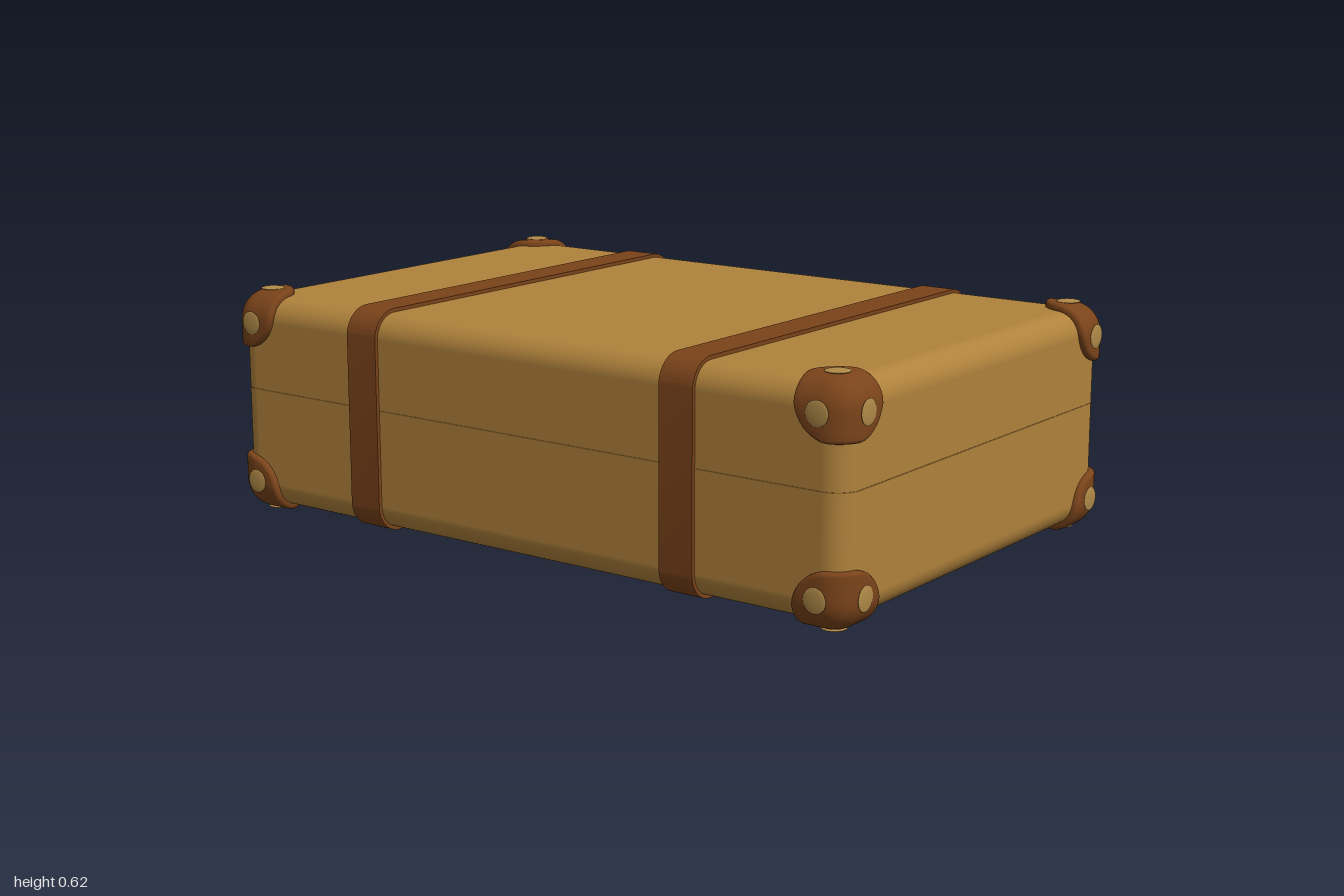
import * as THREE from 'three';
import { mergeVertices, toCreasedNormals } from 'three/addons/utils/BufferGeometryUtils.js';
import { RoundedBoxGeometry } from 'three/addons/geometries/RoundedBoxGeometry.js';

const mat = (color) => new THREE.MeshStandardMaterial({ color });
const tan = mat(0xb0823c), seamTan = mat(0x94692e), leather = mat(0x7a431a);
const brass = mat(0xb08a48), steel = mat(0xa8935c), dark = mat(0x6e5a34);

// Half sizes and centre of the case body
const HALF = [0.98, 0.288, 0.625], CENTRE = [0, 0.31, 0.02], RADIUS = 0.065;
const BACK = CENTRE[2] - HALF[2];

function add(parent, name, geometry, material, x = 0, y = 0, z = 0) {
  const mesh = new THREE.Mesh(geometry, material);
  mesh.name = name;
  mesh.position.set(x, y, z);
  parent.add(mesh);
  return mesh;
}

// Rounded rectangle outline, as a Shape or a hole Path
function roundedRect(path, w, h, r) {
  const x = w / 2 - r, y = h / 2 - r, q = Math.PI / 2;
  path.moveTo(w / 2, -y);
  path.absarc(x, y, r, 0, q);
  path.absarc(-x, y, r, q, 2 * q);
  path.absarc(-x, -y, r, 2 * q, 3 * q);
  path.absarc(x, -y, r, 3 * q, 4 * q);
  return path;
}

// Flat ring extruded along its own z, centred on it
function ring(w, h, r, thick, depth) {
  const shape = roundedRect(new THREE.Shape(), w, h, r);
  shape.holes.push(roundedRect(new THREE.Path(), w - 2 * thick, h - 2 * thick, Math.max(r - thick, 0.002)));
  const g = new THREE.ExtrudeGeometry(shape, { depth, bevelEnabled: false, curveSegments: 10 });
  return toCreasedNormals(g.translate(0, 0, -depth / 2), 0.6);
}

// Corner cap: three rounded patches wrapped over a rounded box corner
const CAP = { size: 0.155, round: 0.1, radius: 0.082, lift: 0.017 };
function capGeometry(sign) {
  const { size, round, radius, lift } = CAP, inner = size - round, steps = 20;
  const rows = [];
  for (let i = 0; i <= 10; i++) rows.push([i * 0.094, 0]);
  rows.push([0.975, 0.002], [0.995, 0.007], [1, 0.013], [1, 0.027]);
  const flip = sign[0] * sign[1] * sign[2] < 0;
  const pos = [], index = [];
  for (let k = 0; k < 3; k++) {
    const base = pos.length / 3;
    for (let a = 0; a <= steps; a++) {
      const th = (a / steps) * Math.PI / 2, c = Math.cos(th), s = Math.sin(th);
      // distance from the corner to the patch outline
      let len = size / Math.max(c, s);
      if (len * Math.min(c, s) > inner) {
        const b = inner * (c + s);
        len = b + Math.sqrt(b * b - 2 * inner * inner + round * round);
      }
      for (const [t, depth] of rows) {
        const dist = [0, 0, 0];
        dist[(k + 1) % 3] = t * len * c;
        dist[(k + 2) % 3] = t * len * s;
        const core = dist.map((d) => Math.max(d, radius));
        const out = core.map((d, i) => d - dist[i]);
        const n = Math.hypot(...out);
        core.forEach((d, i) => {
          const p = d - (out[i] / n) * (radius - depth);
          pos.push(CENTRE[i] + sign[i] * (HALF[i] + lift - p));
        });
      }
    }
    const m = rows.length;
    for (let a = 0; a < steps; a++) for (let r = 0; r < m - 1; r++) {
      const p = base + a * m + r, q = p + 1, u = p + m, v = u + 1;
      if (flip) index.push(p, v, q, p, u, v);
      else index.push(p, q, v, p, v, u);
    }
  }
  let g = new THREE.BufferGeometry();
  g.setAttribute('position', new THREE.Float32BufferAttribute(pos, 3));
  g.setIndex(index);
  g = mergeVertices(g, 1e-5);
  g.computeVertexNormals();
  return g;
}

function corner(sign) {
  const group = new THREE.Group();
  group.name = 'corner';
  add(group, 'cornerCap', capGeometry(sign), leather);
  // one domed rivet on each of the three faces
  for (let k = 0; k < 3; k++) {
    const p = HALF.map((h, i) => CENTRE[i] + sign[i] * (h + CAP.lift - (i === k ? 0 : 0.085)));
    const rivet = add(group, 'cornerRivet', new THREE.SphereGeometry(0.032, 20, 12), brass, ...p);
    rivet.scale.setComponent(k, 0.13);
  }
  return group;
}

// Latch on the back face: plate, rivets, raised frame and tongue
function latch(x) {
  const group = new THREE.Group();
  group.name = 'latch';
  group.position.set(x, 0.31, BACK - 0.008);
  add(group, 'latchPlate', new RoundedBoxGeometry(0.108, 0.4, 0.014, 2, 0.004), steel, 0, 0, -0.003);
  for (const y of [-0.155, 0.155]) {
    const rivet = add(group, 'latchRivet', new THREE.SphereGeometry(0.027, 18, 12), brass, 0, y, -0.01);
    rivet.scale.z = 0.3;
  }
  add(group, 'latchRecess', new THREE.BoxGeometry(0.056, 0.1, 0.004), dark, 0, 0.055, -0.01);
  add(group, 'latchFrame', ring(0.078, 0.125, 0.008, 0.013, 0.014), steel, 0, 0.055, -0.013);
  const tongue = new THREE.Shape();
  tongue.moveTo(0.036, 0.02);
  tongue.lineTo(-0.036, 0.02);
  tongue.lineTo(-0.036, -0.06);
  tongue.absarc(0, -0.06, 0.036, Math.PI, 2 * Math.PI);
  const g = new THREE.ExtrudeGeometry(tongue, {
    depth: 0.008, bevelSize: 0.002, bevelThickness: 0.002, bevelSegments: 2, curveSegments: 16,
  });
  add(group, 'latchTongue', toCreasedNormals(g, 0.6), steel, 0, -0.018, -0.019);
  return group;
}

// Hanging handle: tapered tube between two brass mounts
function handle() {
  const group = new THREE.Group();
  group.name = 'handle';
  const half = [[0.275, 0.315, -0.626], [0.256, 0.255, -0.63], [0.212, 0.178, -0.638], [0.11, 0.137, -0.646]];
  const points = [...half.map(([x, y, z]) => [-x, y, z]), [0, 0.127, -0.649], ...half.slice().reverse()];
  const curve = new THREE.CatmullRomCurve3(points.map((p) => new THREE.Vector3(...p)));
  const n = 64, sides = 14;
  const g = new THREE.TubeGeometry(curve, n, 0.022, sides);
  const v = new THREE.Vector3();
  for (let i = 0; i <= n; i++) {
    const c = curve.getPointAt(i / n), s = 0.55 + 0.45 * Math.sin(Math.PI * i / n);
    for (let j = 0; j <= sides; j++) {
      const id = i * (sides + 1) + j;
      v.fromBufferAttribute(g.attributes.position, id).sub(c).multiplyScalar(s).add(c);
      g.attributes.position.setXYZ(id, v.x, v.y, v.z);
    }
  }
  add(group, 'handleGrip', g, leather);
  for (const s of [-1, 1]) {
    add(group, 'handleEnd', new THREE.SphereGeometry(0.018, 16, 12), leather, s * 0.275, 0.315, -0.626);
    add(group, 'handleMount', new RoundedBoxGeometry(0.075, 0.045, 0.012, 2, 0.004), brass, s * 0.252, 0.315, BACK - 0.004);
    const loop = add(group, 'handleLoop', new THREE.TorusGeometry(0.016, 0.005, 8, 18), brass, s * 0.258, 0.312, BACK - 0.014);
    loop.rotation.y = Math.PI / 2;
  }
  return group;
}

export function createModel() {
  const model = new THREE.Group();
  model.name = 'suitcase';
  const [hx, hy, hz] = HALF;

  add(model, 'caseBody', new RoundedBoxGeometry(2 * hx, 2 * hy, 2 * hz, 6, RADIUS), tan, ...CENTRE);

  // Thin line where the lid meets the base
  const seam = ring(2 * hx + 0.002, 2 * hz + 0.002, RADIUS + 0.001, 0.01, 0.003).rotateX(Math.PI / 2);
  add(model, 'lidSeam', seam, seamTan, 0, 0.345, CENTRE[2]);

  // Straps and latches
  for (const x of [-0.51, 0.51]) {
    const strap = ring(2 * hz + 0.02, 2 * hy + 0.02, RADIUS + 0.01, 0.02, 0.1).rotateY(-Math.PI / 2);
    add(model, 'strap', strap, leather, x, CENTRE[1], CENTRE[2]);
    model.add(latch(x));
  }

  // Eight reinforced corners
  for (const sx of [-1, 1]) for (const sy of [-1, 1]) for (const sz of [-1, 1]) model.add(corner([sx, sy, sz]));

  model.add(handle());
  return model;
}
